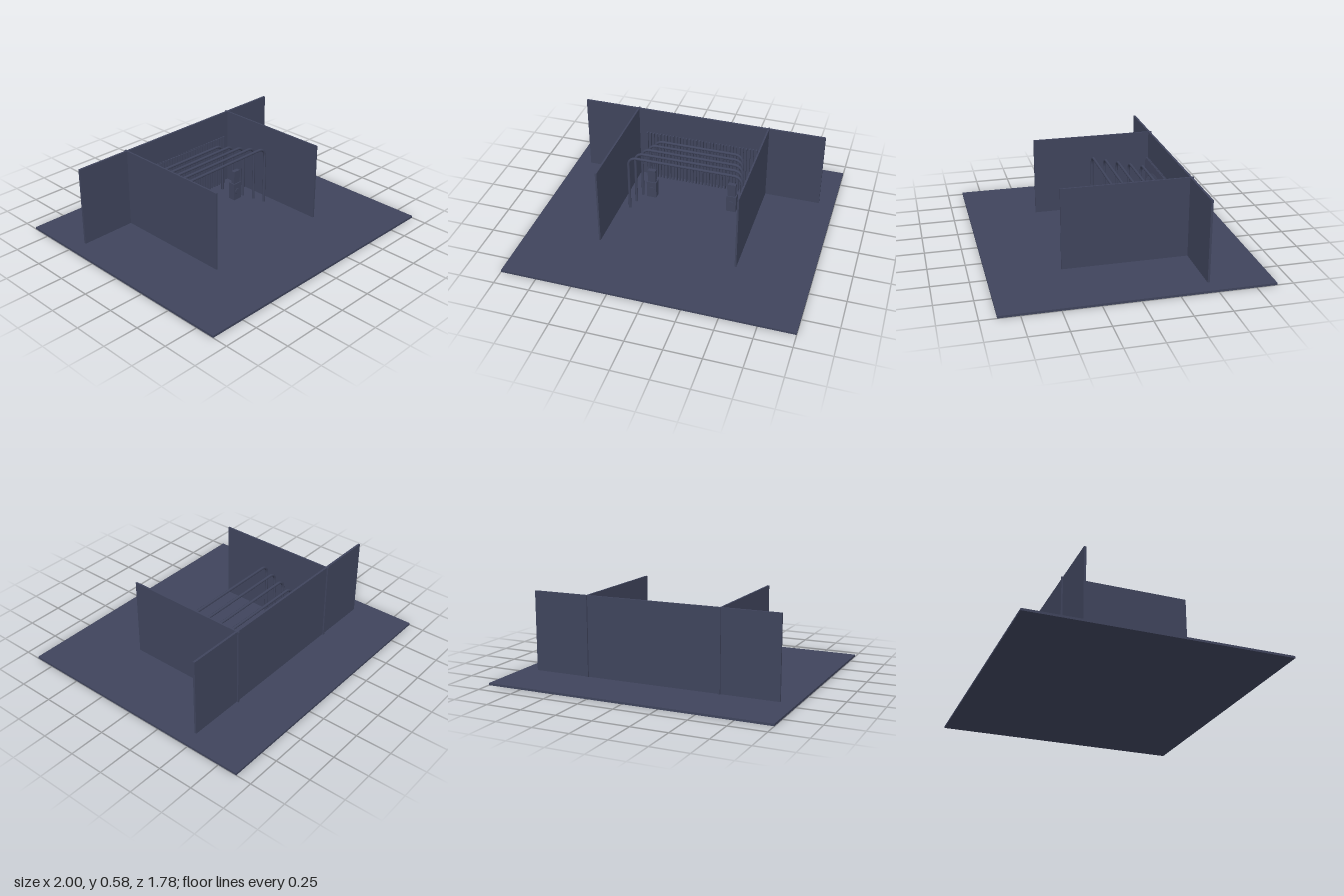
import * as THREE from 'three';

const FLOOR = 0.015;

export function createModel() {
  const model = new THREE.Group();
  const slate = new THREE.MeshStandardMaterial({ color: 0x3f445c });
  slate.name = 'dark slate blue';

  const add = (parent, name, geometry, x = 0, y = 0, z = 0) => {
    const mesh = new THREE.Mesh(geometry, slate);
    mesh.name = name;
    mesh.position.set(x, y, z);
    parent.add(mesh);
    return mesh;
  };
  // box given by its x, y and z ranges
  const block = (parent, name, [x0, x1], [y0, y1], [z0, z1]) =>
    add(parent, name, new THREE.BoxGeometry(x1 - x0, y1 - y0, z1 - z0),
      (x0 + x1) / 2, (y0 + y1) / 2, (z0 + z1) / 2);

  // floor and walls
  block(model, 'floor', [-1, 1], [0, FLOOR], [-0.89, 0.89]);
  block(model, 'backWall', [-0.89, 0.89], [FLOOR, 0.577], [-0.477, -0.462]);
  for (const s of [-1, 1]) {
    const x = s * 0.484;
    block(model, s < 0 ? 'rightWall' : 'leftWall', [x - 0.006, x + 0.006], [FLOOR, 0.577], [-0.488, 0.4]);
  }

  // row of upright slats in front of the back wall
  const slats = new THREE.Group();
  slats.name = 'slats';
  model.add(slats);
  const count = 34;
  for (let i = 0; i < count; i++) {
    const x = -0.412 + (0.824 * i) / (count - 1);
    block(slats, 'slat', [x - 0.005, x + 0.005], [FLOOR, 0.4], [-0.446, -0.428]);
  }

  // nested pipe arches, growing towards the front
  const arches = new THREE.Group();
  arches.name = 'arches';
  model.add(arches);
  const r = 0.01;
  for (let i = 0; i < 5; i++) {
    const w = 0.33 + 0.02 * i;
    const h = 0.383 + 0.0165 * i;
    const c = 0.055;
    const P = (x, y) => new THREE.Vector3(x, y, 0);
    const path = new THREE.CurvePath();
    path.add(new THREE.LineCurve3(P(-w, FLOOR), P(-w, h - c)));
    path.add(new THREE.QuadraticBezierCurve3(P(-w, h - c), P(-w + c * 0.12, h - c * 0.12), P(-w + c, h)));
    path.add(new THREE.LineCurve3(P(-w + c, h), P(w - c, h)));
    path.add(new THREE.QuadraticBezierCurve3(P(w - c, h), P(w - c * 0.12, h - c * 0.12), P(w, h - c)));
    path.add(new THREE.LineCurve3(P(w, h - c), P(w, FLOOR)));
    add(arches, 'arch', new THREE.TubeGeometry(path, 120, r, 10), 0, 0, -0.366 + 0.0875 * i);
  }

  // pair of stacked cabinets with a round front plate
  for (const s of [-1, 1]) {
    const cabinet = new THREE.Group();
    cabinet.name = s < 0 ? 'rightCabinet' : 'leftCabinet';
    cabinet.position.x = s * 0.3;
    model.add(cabinet);
    block(cabinet, 'lowerBox', [-0.036, 0.036], [FLOOR, 0.145], [-0.233, -0.178]);
    block(cabinet, 'upperBox', [-0.029, 0.029], [0.145, 0.242], [-0.215, -0.185]);
    const disc = add(cabinet, 'frontDisc', new THREE.CylinderGeometry(0.024, 0.024, 0.006, 20), 0, 0.08, -0.175);
    disc.rotation.x = Math.PI / 2;
  }
  return model;
}
